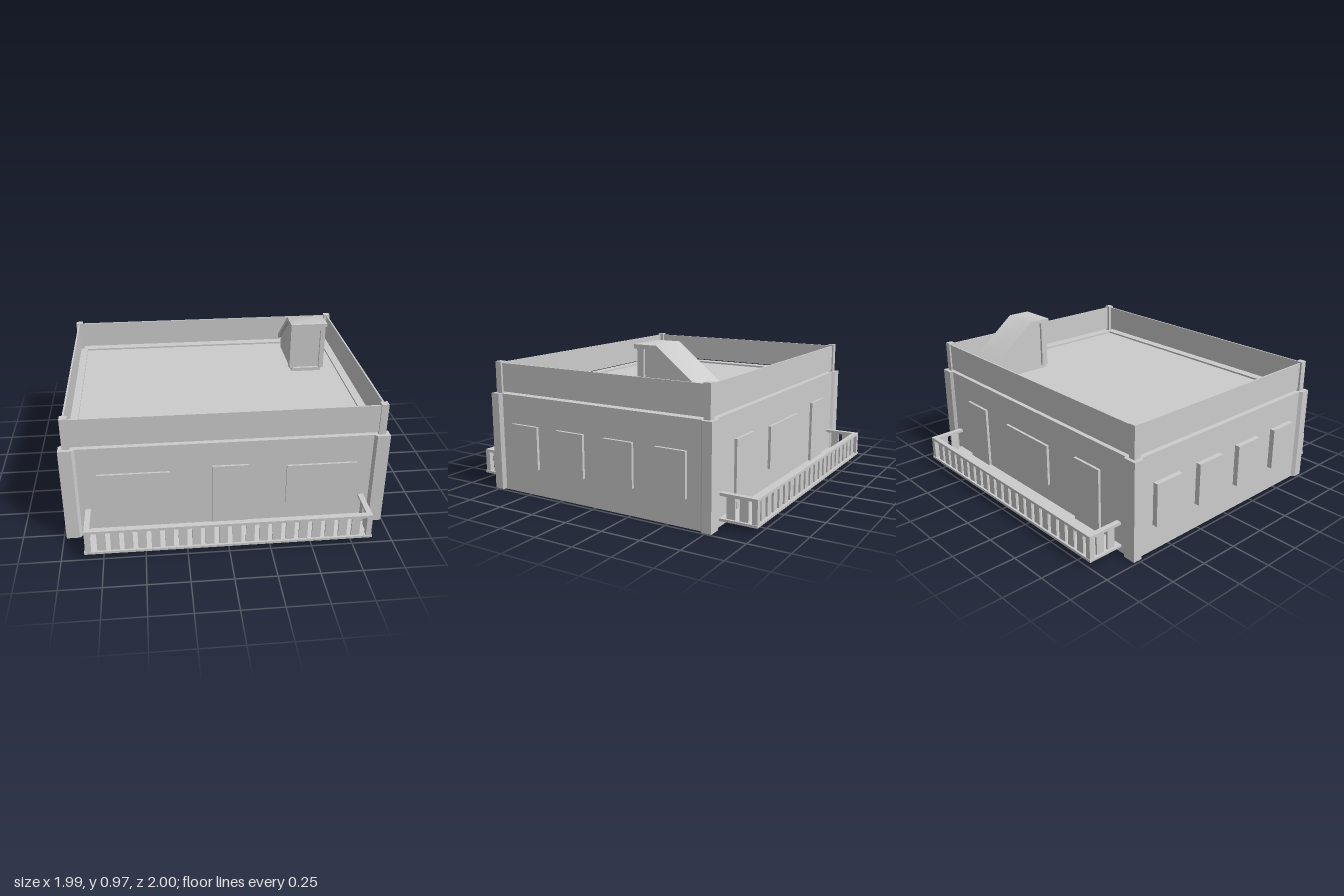
import * as THREE from 'three';
import { toCreasedNormals } from 'three/addons/utils/BufferGeometryUtils.js';

const material = new THREE.MeshStandardMaterial({ color: 0xcccccc });

function add(parent, name, geometry) {
  const mesh = new THREE.Mesh(geometry, material);
  mesh.name = name;
  parent.add(mesh);
  return mesh;
}

// box given by its limits on each axis
function box(parent, name, [x0, x1], [y0, y1], [z0, z1]) {
  const geometry = new THREE.BoxGeometry(x1 - x0, y1 - y0, z1 - z0);
  geometry.translate((x0 + x1) / 2, (y0 + y1) / 2, (z0 + z1) / 2);
  return add(parent, name, geometry);
}

// plan outline (x, z) raised from y0 to y1, with optional hole
function prism(parent, name, outline, y0, y1, hole) {
  const toPoints = (list) => list.map(([x, z]) => new THREE.Vector2(x, -z));
  const shape = new THREE.Shape(toPoints(outline));
  if (hole) shape.holes.push(new THREE.Path(toPoints(hole)));
  const geometry = new THREE.ExtrudeGeometry(shape, { depth: y1 - y0, bevelEnabled: false });
  geometry.rotateX(-Math.PI / 2).translate(0, y0, 0);
  return add(parent, name, geometry);
}

// counter-clockwise rectangle seen from above
const rect = (x, z) => [[-x, -z], [-x, z], [x, z], [x, -z]];

// side outline (z, y) extruded across x0..x1
function sidePrism(parent, name, outline, x0, x1) {
  const shape = new THREE.Shape(outline.map(([z, y]) => new THREE.Vector2(-z, y)));
  const geometry = new THREE.ExtrudeGeometry(shape, { depth: x1 - x0, bevelEnabled: false });
  geometry.rotateY(Math.PI / 2).translate(x0, 0, 0);
  return add(parent, name, toCreasedNormals(geometry, 0.8));
}

function createBalcony(side) {
  const balcony = new THREE.Group();
  balcony.name = side > 0 ? 'frontBalcony' : 'backBalcony';
  const W = 0.86, Z0 = 0.76, Z1 = 0.997, R = 0.033, INSET = 0.01;
  box(balcony, 'balconyFloor', [-0.866, 0.866], [0.037, 0.052], [Z0, 1]);
  // U-shaped handrail
  prism(balcony, 'handrail', [[-W, Z0], [-W, Z1], [W, Z1], [W, Z0],
    [W - R, Z0], [W - R, Z1 - R], [R - W, Z1 - R], [R - W, Z0]], 0.18, 0.197);
  // corner posts and balusters
  for (const s of [-1, 1]) {
    const xs = s > 0 ? [W - R, W] : [-W, R - W];
    box(balcony, 'cornerPost', xs, [0.05, 0.182], [Z1 - R, Z1]);
    for (const z of [0.912, 0.832]) {
      box(balcony, 'sideBaluster', [xs[0] + INSET, xs[1] - INSET], [0.05, 0.182], [z - 0.026, z + 0.026]);
    }
  }
  const count = 20, pitch = 2 * (W - R / 2) / (count + 1);
  for (let i = 0; i < count; i++) {
    const x = (i - (count - 1) / 2) * pitch;
    box(balcony, 'frontBaluster', [x - 0.026, x + 0.026], [0.05, 0.182], [Z1 - R + INSET, Z1 - INSET]);
  }
  if (side < 0) balcony.rotation.y = Math.PI;
  return balcony;
}

function createRoofAccess() {
  const access = new THREE.Group();
  access.name = 'roofAccess';
  // sloping housing, its front face being the recessed door
  sidePrism(access, 'accessBody',
    [[-0.212, 0.6], [-0.212, 0.95], [-0.32, 0.95], [-0.637, 0.697], [-0.637, 0.6]], 0.573, 0.781);
  // bent roof slab
  sidePrism(access, 'accessRoof',
    [[-0.173, 0.944], [-0.173, 0.968], [-0.326, 0.968], [-0.645, 0.714], [-0.645, 0.683], [-0.318, 0.944]],
    0.551, 0.803);
  // door frame
  for (const [x0, x1] of [[0.556, 0.587], [0.766, 0.798]]) {
    box(access, 'accessJamb', [x0, x1], [0.632, 0.946], [-0.235, -0.193]);
  }
  box(access, 'accessLintel', [0.585, 0.768], [0.91, 0.946], [-0.23, -0.193]);
  box(access, 'accessThreshold', [0.573, 0.781], [0.6, 0.632], [-0.235, -0.193]);
  return access;
}

export function createModel() {
  const model = new THREE.Group();
  model.name = 'building';
  const house = new THREE.Group();
  house.name = 'house';
  house.position.x = 0.004;
  model.add(house);

  // main block with a raised rim round the flat roof
  box(house, 'mainWalls', [-0.969, 0.969], [0, 0.608], [-0.768, 0.768]);
  prism(house, 'roofRim', rect(0.969, 0.768), 0.608, 0.62, rect(0.893, 0.704));

  // chamfered corner piers and parapet posts
  for (const sx of [-1, 1]) for (const sz of [-1, 1]) {
    const pier = [[0.988, 0.786], [0.908, 0.786], [0.892, 0.768], [0.892, 0.71], [0.969, 0.71], [0.988, 0.728]];
    prism(house, 'cornerPier', pier.map(([x, z]) => [x * sx, z * sz]), 0, 0.62);
    const px = 0.941 * sx, pz = 0.742 * sz;
    box(house, 'parapetPost', [px - 0.022, px + 0.022], [0.618, 0.82], [pz - 0.022, pz + 0.022]);
  }

  // thin parapet panels raised just clear of the roof
  prism(house, 'parapet', rect(0.95, 0.754), 0.63, 0.81, rect(0.939, 0.743));

  // side windows
  for (const s of [-1, 1]) for (const z of [0.525, 0.175, -0.175, -0.525]) {
    const xs = s > 0 ? [0.95, 0.988] : [-1.002, -0.95];
    box(house, 'sideWindow', xs, [0.17, 0.44], [z - 0.1, z + 0.1]);
  }

  // front and back openings: centre x, half width, bottom, top
  const windowAt = (x) => ['Window', x, 0.217, 0.17, 0.44];
  const doorAt = (x) => ['Door', x, 0.11, 0.04, 0.462];
  const facades = [
    [1, [windowAt(-0.56), doorAt(0.022), windowAt(0.584)]],
    [-1, [doorAt(-0.579), windowAt(0.01), doorAt(0.578)]],
  ];
  for (const [side, openings] of facades) {
    for (const [name, x, half, y0, y1] of openings) {
      const zs = side > 0 ? [0.75, 0.781] : [-0.785, -0.75];
      box(house, (side > 0 ? 'front' : 'back') + name, [x - half, x + half], [y0, y1], zs);
    }
    house.add(createBalcony(side));
  }

  house.add(createRoofAccess());
  return model;
}
